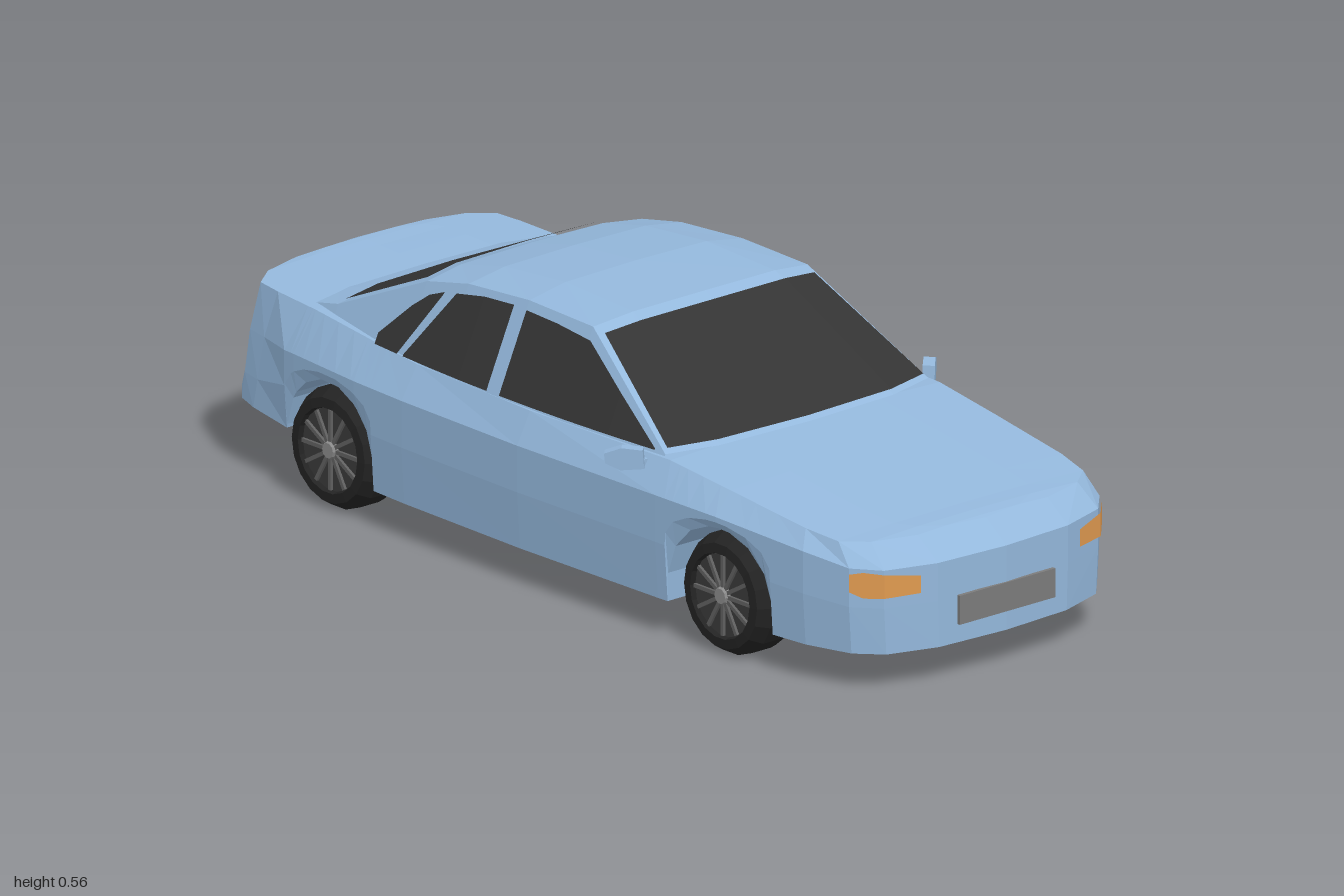
import * as THREE from 'three';

const mat = (name, color, flatShading = true) => {
  const m = new THREE.MeshStandardMaterial({ color, flatShading });
  m.name = name;
  return m;
};
const lerp = THREE.MathUtils.lerp;
const V = (x, y, z) => new THREE.Vector3(x, y, z);

// Skin over a grid [station front to rear][row bottom to top], mirrored in x
function sheet(grid) {
  const pos = [];
  const tri = (a, b, c) => {
    for (const p of [a, b, c]) pos.push(p.x, p.y, p.z);
    for (const p of [a, c, b]) pos.push(-p.x, p.y, p.z);
  };
  for (let i = 0; i < grid.length - 1; i++) {
    for (let j = 0; j < grid[i].length - 1; j++) {
      const a = grid[i][j], b = grid[i + 1][j], c = grid[i + 1][j + 1], d = grid[i][j + 1];
      tri(a, b, c);
      tri(a, c, d);
    }
  }
  const g = new THREE.BufferGeometry();
  g.setAttribute('position', new THREE.Float32BufferAttribute(pos, 3));
  g.computeVertexNormals();
  return g;
}

// Point on a grid at fractional station s and row r
function at(grid, s, r) {
  const i = Math.min(Math.floor(s), grid.length - 2);
  const j = Math.min(Math.floor(r), grid[0].length - 2);
  const lo = grid[i][j].clone().lerp(grid[i + 1][j], s - i);
  const hi = grid[i][j + 1].clone().lerp(grid[i + 1][j + 1], s - i);
  return lo.lerp(hi, r - j);
}

// Thin panel lying on a grid; each column is [station, row, row, ...]
function panel(grid, columns, offset) {
  return sheet(columns.map(([s, ...rows]) => rows.map((r) => at(grid, s, r).add(offset))));
}

// Body keys: z, halfWidth, zTop, halfWidthTop, yTop, yCrease
const KEYS = [
  [0.995, 0, 0.935, 0, 0.298, 0.255],
  [0.985, 0.17, 0.925, 0.17, 0.298, 0.255],
  [0.95, 0.28, 0.9, 0.27, 0.3, 0.255],
  [0.9, 0.328, 0.86, 0.32, 0.302, 0.258],
  [0.8, 0.36, 0.78, 0.335, 0.312, 0.275],
  [0.57, 0.385, 0.57, 0.345, 0.338, 0.292],
  [0.4, 0.393, 0.4, 0.352, 0.358, 0.295],
  [0, 0.4, 0, 0.366, 0.36, 0.295],
  [-0.35, 0.393, -0.35, 0.352, 0.362, 0.295],
  [-0.5, 0.385, -0.5, 0.338, 0.37, 0.295],
  [-0.7, 0.365, -0.68, 0.325, 0.383, 0.295],
  [-0.85, 0.345, -0.8, 0.318, 0.388, 0.29],
  [-0.9, 0.33, -0.86, 0.31, 0.39, 0.29],
  [-0.95, 0.285, -0.895, 0.26, 0.393, 0.29],
  [-0.988, 0.18, -0.915, 0.17, 0.395, 0.29],
  [-1, 0, -0.925, 0, 0.395, 0.29],
];
const AXLES = [0.57, -0.59], ARCH = 0.142, WHEEL_Y = 0.125;

function keyAt(z) {
  const i = KEYS.findIndex((k, n) => n < KEYS.length - 1 && z <= k[0] && z >= KEYS[n + 1][0]);
  const a = KEYS[i], b = KEYS[i + 1], t = (z - a[0]) / (b[0] - a[0]);
  return a.map((v, n) => lerp(v, b[n], t));
}

function bodyGrid() {
  const stations = KEYS.map((k) => k.slice());
  for (const c of AXLES) {
    for (const d of [-1.008, -0.995, -0.85, -0.55, -0.2, 0.2, 0.55, 0.85, 0.995, 1.008]) stations.push(keyAt(c + d * ARCH));
  }
  stations.sort((a, b) => b[0] - a[0]);
  return stations.map(([z, w, zT, wT, yT, yC]) => {
    const rear = z < -0.72;
    const floor = rear ? lerp(0.13, 0.15, (-0.72 - z) / 0.28) : 0.08;
    const axle = AXLES.find((c) => Math.abs(z - c) < ARCH);
    const edge = axle === undefined ? floor : WHEEL_Y + Math.sqrt(ARCH ** 2 - (z - axle) ** 2);
    const inner = Math.min(w * 0.98, 0.27);
    const tuck = z < -0.8 ? [0.25, 0.5] : [0, 0];
    const crown = 0.006 * Math.min(1, wT / 0.3);
    const yM = z < -0.8 ? 0.2 : lerp(edge, yC, 0.55);
    return [
      V(0, floor, z), V(inner, floor, z), V(inner, edge, z), V(w * 0.98, edge, z),
      V(lerp(w, wT, tuck[0]), yM, lerp(z, zT, tuck[0])),
      V(lerp(w, wT, tuck[1]), yC, lerp(z, zT, tuck[1])),
      V(wT, yT, zT), V(wT * 0.55, yT + crown * 0.8, zT), V(0, yT + crown, zT),
    ];
  });
}

// Cabin side surface, leaning inwards and bowed in plan
const sideX = (z, y) => 0.362 - 0.45 * (y - 0.36) - 0.11 * (z + 0.02) ** 2;

// Cabin stations: zEdge, yEdge, zCentre, yCentre
const CABIN = [
  [0.375, 0.362, 0.415, 0.362],
  [0.09, 0.538, 0.105, 0.553],
  [-0.1, 0.543, -0.1, 0.562],
  [-0.28, 0.53, -0.28, 0.547],
  [-0.4, 0.505, -0.41, 0.518],
  [-0.64, 0.4, -0.66, 0.407],
  [-0.74, 0.378, -0.76, 0.383],
];
const cabinGrid = () => CABIN.map(([zE, yE, zC, yC]) => {
  const x = sideX(zE, yE);
  return [
    V(sideX(zE, 0.352), 0.352, zE), V(x, yE, zE),
    V(x * 0.66, lerp(yE, yC, 0.85), lerp(zE, zC, 0.75)), V(0, yC, zC),
  ];
});

// Side glass columns: z, yLow, yHigh
const SIDE_GLASS = {
  frontSideWindow: [[0.35, 0.364, 0.367], [0.22, 0.364, 0.443], [0.1, 0.364, 0.513], [0, 0.364, 0.522], [-0.094, 0.364, 0.525]],
  rearSideWindow: [[-0.132, 0.364, 0.526], [-0.22, 0.364, 0.52], [-0.3, 0.364, 0.506], [-0.395, 0.364, 0.368]],
  quarterWindow: [[-0.335, 0.497, 0.5], [-0.375, 0.43, 0.485], [-0.415, 0.364, 0.455], [-0.488, 0.364, 0.385]],
};

export function createModel() {
  const car = new THREE.Group();
  car.name = 'car';
  const paint = mat('bluePaint', 0x94b8dc), glass = mat('darkGlass', 0x343434);
  const amber = mat('amberLamp', 0xe09a50), red = mat('redLamp', 0xd9503f);
  const plateGrey = mat('plateGrey', 0x7c7c7c), rubber = mat('tyreRubber', 0x232323);
  const rimGrey = mat('rimGrey', 0x3a3a3a), spokeGrey = mat('spokeGrey', 0x606060);
  const hubGrey = mat('hubGrey', 0x8a8a8a);
  const add = (name, geometry, material, parent = car) => {
    const m = new THREE.Mesh(geometry, material);
    m.name = name;
    parent.add(m);
    return m;
  };

  // Painted shell
  const body = bodyGrid(), cabin = cabinGrid(), n = body.length;
  add('body', sheet(body), paint);
  add('cabin', sheet(cabin), paint);

  // Glass
  add('windscreen', panel(cabin, [[0.03, 1.06, 2, 3], [0.92, 1.12, 2, 3]], V(0, 0.005, 0.003)), glass);
  add('rearWindow', panel(cabin, [[4.05, 1.15, 2, 3], [4.93, 1.06, 2, 3]], V(0, 0.005, -0.002)), glass);
  for (const [name, columns] of Object.entries(SIDE_GLASS)) {
    const grid = columns.map(([z, lo, hi]) => [lo, hi].map((y) => V(sideX(z, y) + 0.005, y + 0.002, z)));
    add(name, sheet(grid), glass);
  }

  // Lamps
  add('headlamps', panel(body, [[1.32, 4.3, 4.76], [2, 4.28, 4.9], [2.6, 4.26, 4.93], [3, 4.4, 4.86]], V(0.003, 0, 0.004)), amber);
  add('tailLamps', panel(body, [[n - 4, 5.25, 5.7], [n - 3, 5.2, 5.7], [n - 2.05, 5.2, 5.68]], V(0.002, 0.001, -0.004)), red);

  // Blank plates
  add('frontPlate', new THREE.BoxGeometry(0.25, 0.06, 0.008), plateGrey).position.set(0, 0.15, 0.995);
  const rearPlate = add('rearPlate', new THREE.BoxGeometry(0.26, 0.06, 0.009), plateGrey);
  rearPlate.position.set(0, 0.245, -0.972);
  rearPlate.rotation.x = 0.2;

  // Door mirrors
  const shape = new THREE.Shape([[-0.035, -0.016], [0.012, -0.02], [0.042, -0.006], [0.044, 0.014], [0.01, 0.026], [-0.032, 0.022]]
    .map(([x, y]) => new THREE.Vector2(x, y)));
  const housing = new THREE.ExtrudeGeometry(shape, { depth: 0.024, bevelEnabled: false });
  housing.translate(0, 0, -0.012);
  for (const side of [1, -1]) {
    const g = new THREE.Group();
    g.name = side > 0 ? 'leftMirror' : 'rightMirror';
    add('mirrorHousing', housing, paint, g).rotation.y = 0.8;
    add('mirrorStem', new THREE.BoxGeometry(0.05, 0.014, 0.022), paint, g).position.set(-0.035, -0.008, 0.012);
    g.position.set(side * 0.396, 0.35, 0.32);
    g.scale.x = side;
    car.add(g);
  }

  // Wheels, with the axle along x
  const profile = [[0, 0.28], [0.122, 0.28], [0.125, 0.295], [0.125, 0.345], [0.108, 0.372], [0.088, 0.374], [0.085, 0.358], [0, 0.358]]
    .map(([r, h]) => new THREE.Vector2(r, h));
  const tyre = new THREE.LatheGeometry(profile, 18).rotateZ(-Math.PI / 2);
  const disc = new THREE.CylinderGeometry(0.085, 0.085, 0.006, 18).rotateZ(-Math.PI / 2);
  const hub = new THREE.CylinderGeometry(0.016, 0.022, 0.012, 10).rotateZ(-Math.PI / 2);
  const spoke = new THREE.BoxGeometry(0.008, 0.066, 0.008).translate(0, 0.05, 0);
  for (const z of AXLES) {
    for (const side of [1, -1]) {
      const wheel = new THREE.Group();
      wheel.name = (z > 0 ? 'front' : 'rear') + (side > 0 ? 'Left' : 'Right') + 'Wheel';
      add('tyre', tyre, rubber, wheel);
      add('rim', disc, rimGrey, wheel).position.x = 0.36;
      add('hub', hub, hubGrey, wheel).position.x = 0.368;
      for (let i = 0; i < 12; i++) {
        const s = add('spoke', spoke, spokeGrey, wheel);
        s.position.x = 0.365;
        s.rotation.x = (i / 12) * Math.PI * 2;
      }
      wheel.position.set(0, WHEEL_Y, z);
      if (side < 0) wheel.rotation.y = Math.PI;
      car.add(wheel);
    }
  }
  return car;
}
